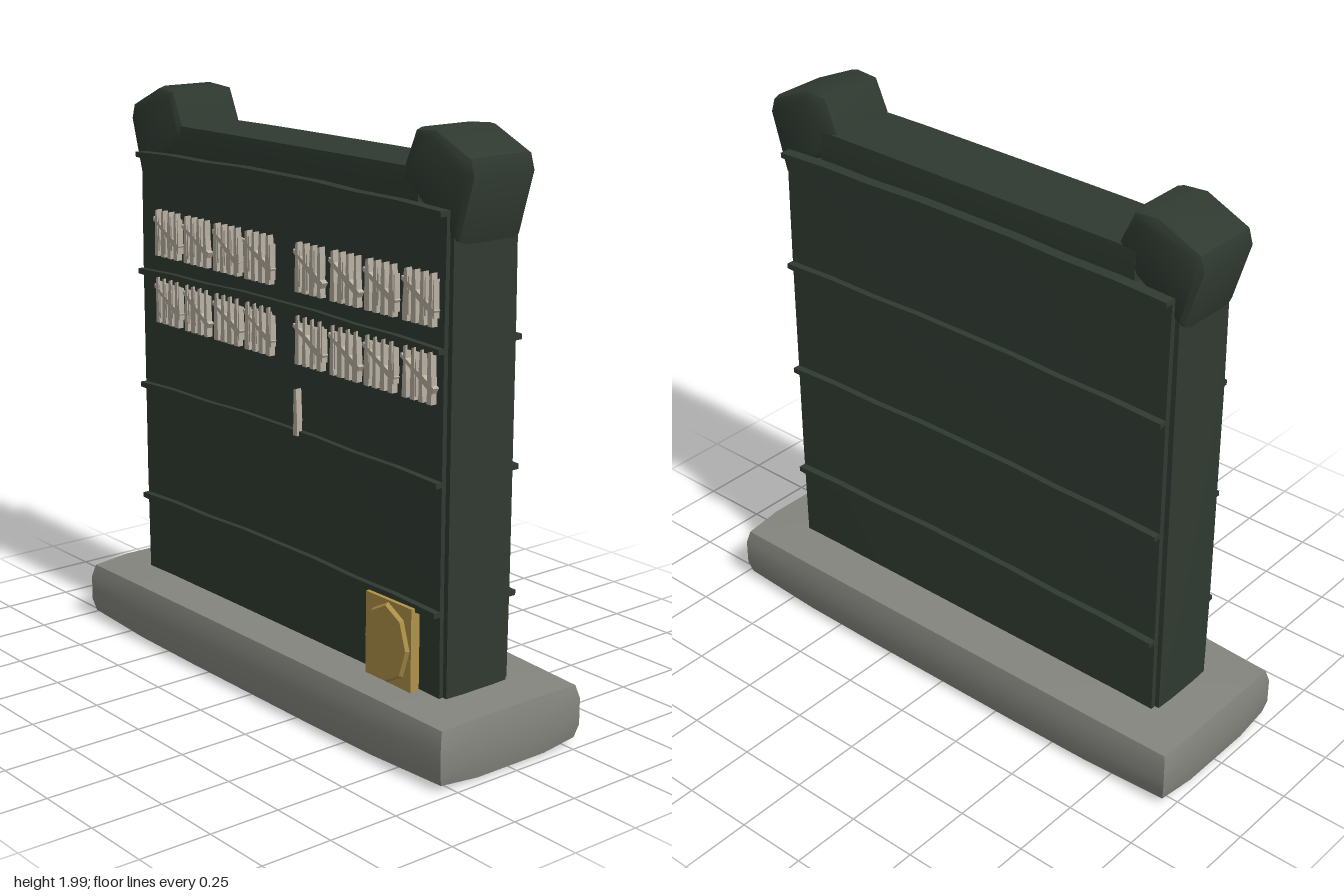
import * as THREE from 'three';
import { toCreasedNormals } from 'three/addons/utils/BufferGeometryUtils.js';

const mat = (name, color) => {
  const m = new THREE.MeshStandardMaterial({ color });
  m.name = name;
  return m;
};

export function createModel() {
  const group = new THREE.Group();
  const green = mat('dark green', 0x303a31);
  const stone = mat('grey stone', 0x85857f);
  const bone = mat('pale chalk', 0xb8b0a2);
  const gold = mat('old gold', 0xb0924a);

  // small seeded generator for the hand-cut look of the strokes
  let seed = 7;
  const rnd = () => (seed = (seed * 16807) % 2147483647) / 2147483647;

  function add(name, geometry, material, x = 0, y = 0, z = 0) {
    const mesh = new THREE.Mesh(geometry, material);
    mesh.name = name;
    mesh.position.set(x, y, z);
    group.add(mesh);
    return mesh;
  }

  // box whose faces swell gently between fixed corners
  function swollenBox(w, h, d, bx, by, bz) {
    const g = new THREE.BoxGeometry(w, h, d, 6, 4, 4);
    const p = g.attributes.position;
    const f = (t) => Math.min(1, (1 - Math.abs(t)) * 2.5);
    for (let i = 0; i < p.count; i++) {
      const u = p.getX(i) / (w / 2), v = p.getY(i) / (h / 2), t = p.getZ(i) / (d / 2);
      p.setXYZ(i,
        p.getX(i) + u * bx * (f(v) + f(t)) / 2,
        p.getY(i) + v * by * (f(u) + f(t)) / 2,
        p.getZ(i) + t * bz * (f(u) + f(v)) / 2);
    }
    g.computeVertexNormals();
    return g;
  }

  // stone plinth
  add('base', swollenBox(1.93, 0.18, 0.575, 0.02, 0.02, 0.025), stone, 0, 0.115, 0);

  // slab: core, front and back panels, top rail
  add('core', swollenBox(1.63, 1.56, 0.255, 0.006, 0, 0.005), green, 0, 0.96, 0.007);
  add('panels', swollenBox(1.6, 1.56, 0.29, 0, 0, 0.007), green, 0, 0.98, 0.005);
  add('topRail', swollenBox(1.3, 0.14, 0.255, 0, 0.005, 0.005), green, 0, 1.8, 0.002);

  // raised seams, thin at the ends and thicker toward the middle
  const seam = new THREE.BoxGeometry(1.6, 0.05, 0.04, 8, 1, 1);
  const sp = seam.attributes.position;
  for (let i = 0; i < sp.count; i++) {
    const a = Math.abs(sp.getX(i)) / 0.8;
    sp.setY(i, sp.getY(i) * (a > 0.9 ? 0.35 : a > 0.4 ? 0.7 : 1));
  }
  seam.computeVertexNormals();
  for (const y of [0.5, 0.92, 1.338, 1.755]) {
    add('frontSeam', seam, green, 0, y, 0.157);
    add('backSeam', seam, green, 0, y, -0.15);
  }

  // flared horns on the upper corners
  const outline = [[0.8, 1.67], [0.835, 1.662], [0.897, 1.87], [0.88, 1.925],
    [0.72, 1.997], [0.63, 1.99], [0.58, 1.88], [0.57, 1.83]];
  for (const side of [1, -1]) {
    const pts = outline.map(([x, y]) => new THREE.Vector2(x * side, y));
    const g = new THREE.ExtrudeGeometry(new THREE.Shape(pts), {
      depth: 0.19, bevelEnabled: true, bevelThickness: 0.037,
      bevelSize: 0.025, bevelOffset: -0.025, bevelSegments: 2,
    });
    add(side > 0 ? 'leftHorn' : 'rightHorn', toCreasedNormals(g, 0.65), green, 0, 0, -0.089);
  }

  // tally strokes: ragged slivers, wider at the foot
  function stroke(x, y, length, width, angle = 0) {
    const h = length / 2, w = width / 2;
    const j = () => w * (0.65 + 0.5 * rnd());
    const s = new THREE.Shape();
    s.moveTo(-w, -h);
    s.lineTo(w, -h);
    s.lineTo(j(), -h * 0.3);
    s.lineTo(j() * 0.8, h * 0.35);
    s.lineTo(w * 0.55, h);
    s.lineTo(-w * 0.5, h * 0.95);
    s.lineTo(-j() * 0.8, h * 0.25);
    s.lineTo(-j(), -h * 0.4);
    const g = new THREE.ExtrudeGeometry(s, { depth: 0.022, bevelEnabled: false });
    add('tallyStroke', g, bone, x, y, 0.163).rotation.z = angle;
  }
  for (const y of [1.495, 1.255]) {
    for (const x0 of [-0.69, -0.515, -0.34, -0.165, 0.105, 0.285, 0.455, 0.635]) {
      for (let i = 0; i < 4; i++) {
        const x = x0 + 0.02 + i * 0.038;
        stroke(x, y, 0.165, 0.019 + 0.006 * rnd());
        // loose splinter beside the cut
        if (rnd() > 0.4) stroke(x + 0.015, y + 0.02 * (rnd() - 0.5), 0.12, 0.007);
      }
      const tilt = 0.98 + 0.1 * rnd();
      stroke(x0 + 0.075, y + 0.005, 0.175, 0.022, tilt);
    }
  }
  stroke(0.115, 1.01, 0.16, 0.022);

  // gold plaque with an eight-sided raised centre
  add('plaque', new THREE.BoxGeometry(0.22, 0.285, 0.035), gold, 0.6, 0.3575, 0.174);
  const boss = new THREE.CylinderGeometry(0.93, 1, 0.015, 8).toNonIndexed();
  boss.rotateX(Math.PI / 2);
  boss.scale(0.105, 0.137, 1);
  boss.computeVertexNormals();
  add('plaqueCentre', boss, gold, 0.6, 0.3575, 0.197);

  return group;
}
